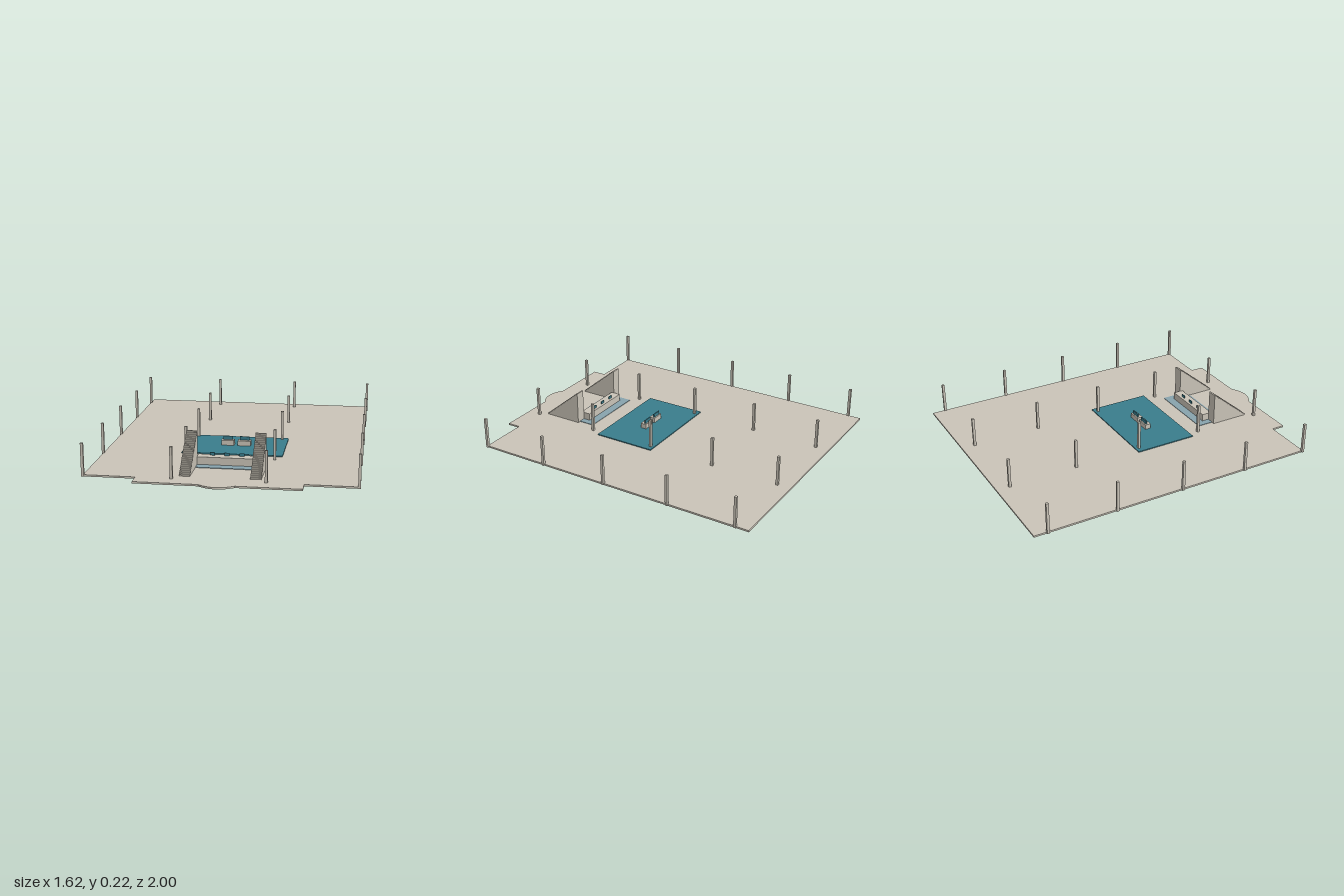
import * as THREE from 'three';

export function createModel() {
  const model = new THREE.Group();
  const mat = (name, color) => {
    const m = new THREE.MeshStandardMaterial({ color });
    m.name = name;
    return m;
  };
  const stone = mat('warm stone', 0xcac4b8);
  const teal = mat('teal', 0x3a7d8c);
  const paleBlue = mat('pale blue', 0x88a3ad);
  const FLOOR = 0.011;

  const add = (name, geometry, material) => {
    const mesh = new THREE.Mesh(geometry, material);
    mesh.name = name;
    model.add(mesh);
    return mesh;
  };
  // box given by its limits on each axis
  const block = (name, material, [x0, x1], [y0, y1], [z0, z1]) =>
    add(name, new THREE.BoxGeometry(x1 - x0, y1 - y0, z1 - z0), material)
      .position.set((x0 + x1) / 2, (y0 + y1) / 2, (z0 + z1) / 2);

  // floor slab with entrance projection and curved landing
  const plan = new THREE.Shape();
  plan.moveTo(-0.803, -1);
  plan.lineTo(0.803, -1);
  plan.lineTo(0.803, 0.875);
  plan.lineTo(0.49, 0.875);
  plan.lineTo(0.49, 0.96);
  plan.lineTo(0.105, 0.96);
  plan.quadraticCurveTo(0, 1.04, -0.105, 0.96);
  plan.lineTo(-0.49, 0.96);
  plan.lineTo(-0.49, 0.875);
  plan.lineTo(-0.803, 0.875);
  plan.closePath();
  const slab = new THREE.ExtrudeGeometry(plan, { depth: FLOOR, bevelEnabled: false, curveSegments: 16 });
  slab.rotateX(Math.PI / 2).translate(0, FLOOR, 0);
  add('floorSlab', slab, stone);

  // column grid
  for (const x of [-0.804, -0.277, 0.274, 0.802])
    for (const z of [-0.913, -0.467, -0.02, 0.426, 0.872])
      block('column', stone, [x - 0.008, x + 0.008], [0.002, 0.203], [z - 0.008, z + 0.008]);

  // floor coverings
  block('carpet', teal, [-0.318, 0.315], [FLOOR - 0.001, 0.017], [-0.044, 0.362]);
  block('entranceMat', paleBlue, [-0.223, 0.22], [FLOOR - 0.001, 0.014], [0.47, 0.65]);

  // solid staircases flanking the reception desk, rising to the back
  const STEPS = 24, zBack = 0.573, zFront = 0.824, top = 0.22;
  const profile = new THREE.Shape();
  profile.moveTo(zBack, FLOOR);
  profile.lineTo(zFront, FLOOR);
  for (let i = 0; i < STEPS; i++) {
    const y = FLOOR + (top - FLOOR) * (i + 1) / STEPS;
    profile.lineTo(zFront - (zFront - zBack) * i / STEPS, y);
    profile.lineTo(zFront - (zFront - zBack) * (i + 1) / STEPS, y);
  }
  profile.closePath();
  const stairs = new THREE.ExtrudeGeometry(profile, { depth: 0.065, bevelEnabled: false });
  stairs.rotateY(-Math.PI / 2);
  add('leftStairs', stairs, stone).position.x = 0.24;
  add('rightStairs', stairs, stone).position.x = -0.178;

  // reception desk with three screens
  block('receptionDesk', stone, [-0.18, 0.177], [FLOOR, 0.061], [0.526, 0.592]);
  for (const x of [-0.092, -0.002, 0.088])
    block('receptionScreen', teal, [x - 0.015, x + 0.015], [0.061, 0.079], [0.543, 0.548]);

  // pair of work desks on the carpet, each with a wide screen
  for (const x of [-0.056, 0.05]) {
    block('workDesk', stone, [x - 0.041, x + 0.041], [FLOOR, 0.049], [0.134, 0.174]);
    block('workScreen', teal, [x - 0.031, x + 0.031], [0.049, 0.072], [0.143, 0.151]);
  }

  return model;
}
